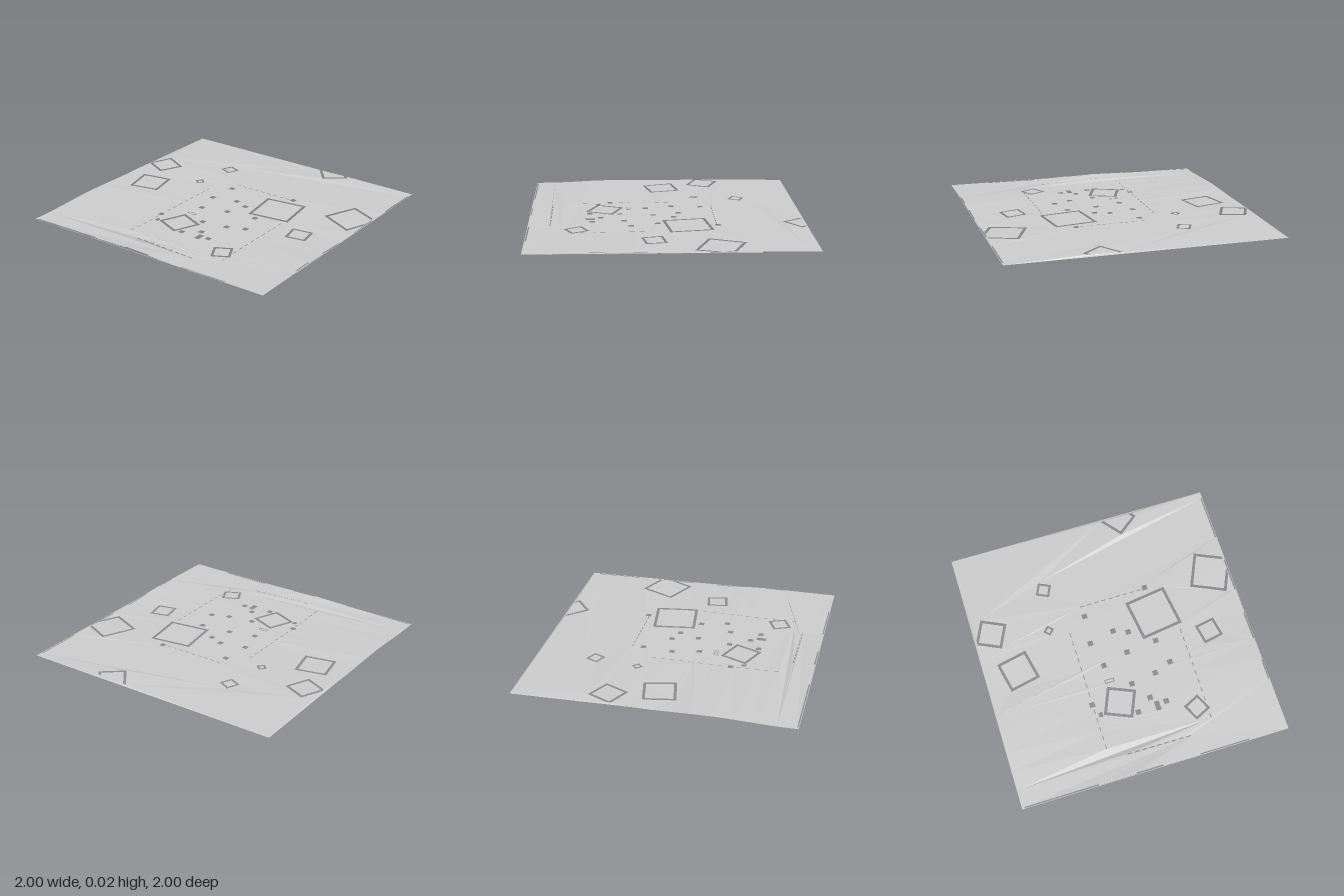
import * as THREE from 'three';

const V = (x, z) => new THREE.Vector2(x, -z); // plan position, z towards the front
const LIMIT = 0.982; // cut-outs stop short of the rim

// Corners of a rectangle turned by an angle in plan
function rect(x, z, w, d, deg = 0) {
  const a = THREE.MathUtils.degToRad(deg), c = Math.cos(a), s = Math.sin(a);
  return [[-1, -1], [1, -1], [1, 1], [-1, 1]].map(([i, j]) => {
    const u = i * w / 2, v = j * d / 2;
    return V(x + u * c - v * s, z + u * s + v * c);
  });
}

// Clip a convex polygon to the sheet
function clip(points) {
  for (const axis of ['x', 'y']) for (const sign of [-1, 1]) {
    const out = [];
    points.forEach((p, i) => {
      const q = points[(i + 1) % points.length];
      const a = LIMIT - sign * p[axis], b = LIMIT - sign * q[axis];
      if (a >= 0) out.push(p);
      if (a * b < 0) out.push(p.clone().lerp(q, a / (a - b)));
    });
    points = out;
  }
  return points;
}

// Nearly flat ground, wavy towards its edges
function height(x, z) {
  const edge = THREE.MathUtils.smoothstep(Math.max(Math.abs(x), Math.abs(z)), 0.5, 1);
  const wave = 0.6 * Math.sin(5.3 * x + 2.1 * z + 0.7) + 0.4 * Math.cos(7.1 * z - 3.2 * x);
  return THREE.MathUtils.clamp(0.014 + 0.012 * edge * wave, 0, 0.025);
}

function sheet(shape, name, material) {
  const g = new THREE.ShapeGeometry(shape);
  g.rotateX(-Math.PI / 2);
  const p = g.attributes.position;
  for (let i = 0; i < p.count; i++) p.setY(i, height(p.getX(i), p.getZ(i)));
  g.computeVertexNormals();
  const mesh = new THREE.Mesh(g, material);
  mesh.name = name;
  return mesh;
}

export function createModel() {
  const group = new THREE.Group();
  group.name = 'terrainSheet';
  const material = new THREE.MeshStandardMaterial({
    color: 0xcccccc, flatShading: true, side: THREE.DoubleSide,
  });

  // Outer outline, subdivided so that the edges can undulate
  const corners = rect(0, 0, 2, 2), outline = [];
  corners.forEach((p, i) => {
    for (let k = 0; k < 14; k++) outline.push(p.clone().lerp(corners[(i + 1) % 4], k / 14));
  });
  const ground = new THREE.Shape(outline);
  const cut = (points) => ground.holes.push(new THREE.Path(points));

  // Square trenches around level plots: x, z, width, depth, angle, trench width
  const plots = [
    [-0.865, -0.335, 0.197, 0.197, 25, 0.02],
    [-0.748, 0, 0.235, 0.235, -12, 0.02],
    [-0.395, -0.565, 0.1, 0.1, 25, 0.016],
    [-0.447, -0.24, 0.058, 0.058, 45, 0.014],
    [0.342, -0.145, 0.318, 0.318, -8, 0.021],
    [0.695, 0.11, 0.155, 0.155, -11, 0.018],
    [-0.105, 0.45, 0.215, 0.215, 23, 0.021],
    [0.42, 0.65, 0.137, 0.137, -26, 0.018],
    [0.855, -0.335, 0.277, 0.277, 24, 0.021],
    [0.32, -0.967, 0.196, 0.196, -38, 0.02],
    [-0.13, 0.27, 0.07, 0.03, 0, 0.006],
  ];
  for (const [x, z, w, d, deg, t] of plots) {
    cut(clip(rect(x, z, w, d, deg)));
    const island = new THREE.Shape(clip(rect(x, z, w - 2 * t, d - 2 * t, deg)));
    group.add(sheet(island, 'enclosedPlot', material));
  }

  // Small square openings
  const pits = [
    [-0.16, -0.27], [-0.18, -0.05], [0.01, -0.095], [0.115, -0.055], [0.06, 0.095],
    [0.29, 0.07], [-0.135, 0.145], [0.02, 0.34], [0.34, 0.26], [0.21, 0.31],
    [0, 0.56], [0.115, 0.48], [0.22, 0.54], [-0.305, 0.41], [0.34, -0.36],
  ];
  for (const [x, z] of pits) cut(rect(x, z, 0.039, 0.039));
  cut(rect(0.15, 0.555, 0.038, 0.07));
  cut(rect(-0.266, 0.5, 0.03, 0.036));

  // Dashed slots around the central yard
  for (let i = 0; i < 14; i++) {
    const z = -0.155 + i * 0.0688;
    if (i !== 8) cut(rect(-0.302, z, 0.006, 0.036));
    if (i > 2 && i !== 12) cut(rect(0.494, z, 0.006, 0.036));
  }
  for (let i = 0; i < 9; i++) {
    const x = -0.152 + i * 0.0555;
    cut(rect(x, -0.352, 0.036, 0.006));
    cut(rect(x, 0.84, 0.036, 0.008));
  }

  // Narrow slits along the rim
  for (const [a, b] of [[-0.98, -0.43], [-0.15, 0.05], [0.33, 0.7]])
    cut(rect((a + b) / 2, 0.991, b - a, 0.009));
  for (const [a, b] of [[-0.95, -0.6], [-0.4, -0.15], [0.05, 0.27], [0.45, 0.6]])
    cut(rect(0.991, (a + b) / 2, 0.009, b - a));

  group.add(sheet(ground, 'ground', material));
  return group;
}
